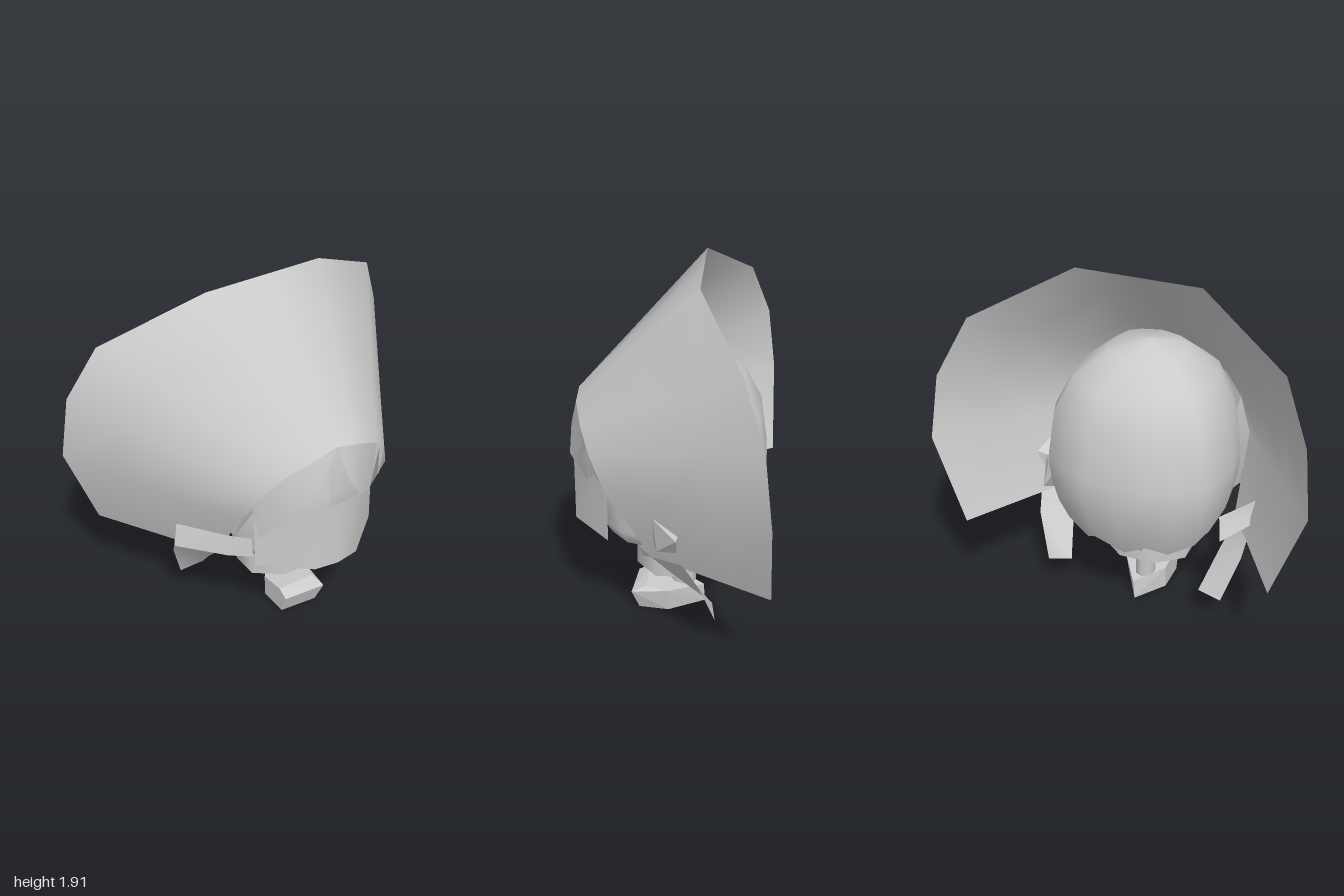
import * as THREE from 'three';
import { ConvexGeometry } from 'three/addons/geometries/ConvexGeometry.js';

const V = (p) => new THREE.Vector3(...p);
const mirror = (rows) => rows.map(([x, ...rest]) => [-x, ...rest]);
const profile = (points) => points.map((p) => new THREE.Vector2(...p));

// smooth sheet through a list of rows holding equally many points
function sheet(rows) {
  const n = rows[0].length, index = [];
  for (let r = 0; r < rows.length - 1; r++) {
    for (let i = 0; i < n - 1; i++) {
      const a = r * n + i, b = a + 1, c = a + n, d = c + 1;
      index.push(a, c, b, b, c, d);
    }
  }
  const g = new THREE.BufferGeometry();
  g.setAttribute('position', new THREE.Float32BufferAttribute(rows.flat(2), 3));
  g.setIndex(index);
  g.computeVertexNormals();
  return g;
}

export function createModel() {
  const model = new THREE.Group();
  const solid = new THREE.MeshStandardMaterial({ color: 0xcccccc });
  const thin = new THREE.MeshStandardMaterial({ color: 0xcccccc, side: THREE.DoubleSide });
  const add = (name, geometry, material = thin) => {
    const mesh = new THREE.Mesh(geometry, material);
    mesh.name = name;
    model.add(mesh);
    return mesh;
  };

  // bonnet brim: straight flare from the face edge out to the rim
  const inner = [[0.12, 1.23, 0.49], [0.27, 1.16, 0.45], [0.37, 1.06, 0.40], [0.45, 0.9, 0.32], [0.46, 0.53, 0.08]];
  const outer = [[0.33, 1.915, -0.15], [0.82, 1.66, -0.38], [0.96, 1.36, -0.48], [1, 1.01, -0.52], [0.83, 0.54, -0.53]];
  const both = (half, mid) => [...mirror(half).reverse(), mid, ...half];
  const rimIn = both(inner, [0, 1.26, 0.49]), rimOut = both(outer, [0, 1.915, -0.15]);
  const between = (t) => rimIn.map((p, i) => V(p).lerp(V(rimOut[i]), t).toArray());
  add('bonnetBrim', sheet([0, 0.35, 0.7, 1].map(between)));

  // ribbon tails hanging from the brim corners
  const tail = [
    [[0.46, 0.53, 0.08], [0.60, 0.57, -0.09]],
    [[0.44, 0.42, -0.03], [0.58, 0.43, -0.17]],
    [[0.37, 0.21, -0.23], [0.50, 0.19, -0.25]],
  ];
  add('leftRibbonTail', sheet(tail));
  add('rightRibbonTail', sheet(tail.map(mirror)));

  // hair shell: outline seen from above as [x, z, lower edge height], front to back
  const half = [
    [0.27, 0.38, 0.6], [0.41, 0.27, 0.7], [0.47, 0.1, 0.7], [0.49, -0.08, 0.66],
    [0.47, -0.22, 0.58], [0.43, -0.33, 0.52], [0.3, -0.42, 0.46], [0.17, -0.485, 0.54],
  ];
  const outline = [[0, 0.45, 0.6], ...half, [0, -0.49, 0.44], ...mirror(half).reverse(), [0, 0.45, 0.6]];
  const crown = [[0, 1.53], [0.4, 1.49], [0.74, 1.36], [0.93, 1.17], [1, 0.92]];
  const hairRows = crown.map(([f, y]) => outline.map(([x, z]) => [x * f, y, z * f]));
  for (const t of [0.35, 0.7, 1]) {
    hairRows.push(outline.map(([x, z, edge]) => {
      const drop = (0.92 - edge) * t;
      const f = Math.sqrt(1 - (drop / 0.7) ** 2);
      return [x * f, 0.92 - drop, z * f];
    }));
  }
  add('hairShell', sheet(hairRows));

  // side hair joining the shell to the brim
  const lock = [
    [[0.37, 1.06, 0.4], [0.45, 0.9, 0.32], [0.455, 0.67, 0.17]],
    [[0.42, 1.1, 0.1], [0.47, 0.9, 0.05], [0.45, 0.72, 0]],
  ];
  add('leftSideHair', sheet(lock));
  add('rightSideHair', sheet(lock.map(mirror)));

  // face with a broad, shallow chin
  const face = add('face', new THREE.LatheGeometry(profile([
    [0, 0.42], [0.45, 0.43], [0.82, 0.49], [1, 0.58], [1, 0.9], [0.8, 1.1], [0, 1.15],
  ]), 12), solid);
  face.scale.set(0.36, 1, 0.3);
  face.position.z = 0.1;

  // bent visor over the eyes
  const visor = [[-0.365, 0.31], [-0.13, 0.51], [0, 0.53], [0.13, 0.51], [0.365, 0.31]];
  add('visor', sheet([0.94, 0.56].map((y) => visor.map(([x, z]) => [x, y, z]))));

  // parted fringe with pointed locks
  add('leftFringe', sheet([
    [[0, 1.26, 0.49], [0.06, 1.245, 0.49], [0.12, 1.23, 0.49], [0.27, 1.16, 0.45], [0.32, 1.11, 0.425], [0.37, 1.06, 0.4], [0.41, 0.98, 0.36], [0.45, 0.9, 0.32]],
    [[0, 1.26, 0.49], [0.05, 1.07, 0.53], [0.13, 0.94, 0.53], [0.27, 0.85, 0.42], [0.29, 1.0, 0.46], [0.34, 0.9, 0.4], [0.37, 0.97, 0.38], [0.45, 0.65, 0.2]],
  ]));
  add('rightFringe', sheet([
    [[0, 1.26, 0.49], [-0.12, 1.23, 0.49], [-0.27, 1.16, 0.45], [-0.37, 1.06, 0.4], [-0.41, 0.98, 0.36], [-0.45, 0.9, 0.32]],
    [[0, 1.26, 0.49], [-0.12, 1.07, 0.53], [-0.24, 0.93, 0.48], [-0.37, 0.77, 0.36], [-0.4, 0.95, 0.36], [-0.45, 0.7, 0.22]],
  ]));

  // faceted ornament on the left of the brim, and the knot behind it
  add('brimOrnament', new ConvexGeometry([
    [0.59, 0.825, 0.06], [0.66, 0.74, -0.06], [0.65, 0.76, -0.07], [0.58, 0.63, -0.06],
    [0.57, 0.63, 0.04], [0.53, 0.65, 0.06], [0.5, 0.72, -0.05], [0.52, 0.78, 0.05],
  ].map(V)), solid);
  add('brimKnot', new ConvexGeometry([
    [0.5, 0.78, -0.2], [0.46, 0.74, -0.24], [0.52, 0.65, -0.23],
    [0.47, 0.63, -0.17], [0.56, 0.76, -0.1], [0.55, 0.64, -0.1],
  ].map(V)), solid);

  // bow strip folded around the right side
  add('bowFront', sheet([
    [[-0.63, 0.73, -0.02], [-0.47, 0.73, 0.2], [-0.37, 0.72, 0.29]],
    [[-0.66, 0.61, 0], [-0.47, 0.61, 0.22], [-0.37, 0.61, 0.3]],
  ]));
  add('bowBack', sheet([
    [[-0.63, 0.73, -0.02], [-0.47, 0.7, -0.22]],
    [[-0.66, 0.61, 0], [-0.5, 0.6, -0.29]],
  ]));

  // collar band, and the scarf wrapped over its left side
  const collar = add('collar', new THREE.CylinderGeometry(0.258, 0.258, 0.16, 8, 1, true, Math.PI / 8));
  collar.scale.z = 0.79;
  collar.position.set(0, 0.36, 0);
  const scarf = add('scarf', new THREE.LatheGeometry(
    profile([[0.17, 0.36], [0.245, 0.35], [0.265, 0.41], [0.25, 0.47], [0.17, 0.48]]), 8, 0.3, Math.PI * 0.95));
  scarf.scale.set(0.95, 1, 0.8);

  // neck
  const neck = add('neck', new THREE.CylinderGeometry(0.06, 0.055, 0.4, 8), solid);
  neck.scale.z = 1.25;
  neck.position.set(0, 0.32, -0.055);

  // skewed five-sided body at the base
  add('body', new ConvexGeometry([
    [-0.1, 0, 0.16], [0.11, 0, 0.18], [0.13, 0, 0.02], [0.02, 0, -0.175], [-0.1, 0, -0.01],
    [-0.1, 0.11, 0.2], [0.14, 0.11, 0.22], [0.15, 0.13, 0.02], [0.03, 0.11, -0.17], [-0.1, 0.125, -0.01],
    [-0.1, 0.143, 0.14], [0.12, 0.14, 0.14],
  ].map(V)), solid);

  return model;
}
